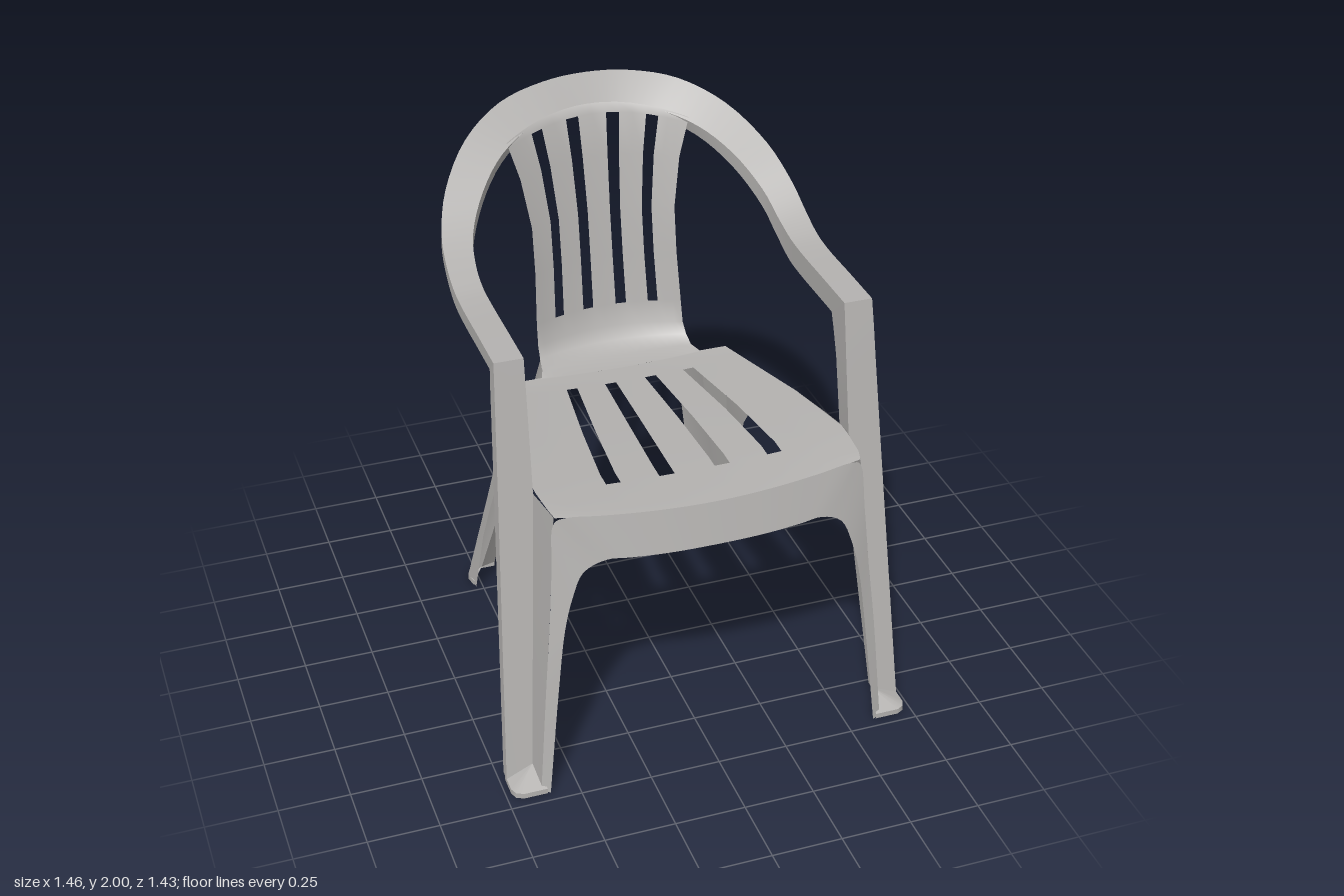
import * as THREE from 'three';

const V = (x, y, z) => new THREE.Vector3(x, y, z);
const P = (a) => V(...a);
const flip = (p, s) => V(p.x * s, p.y, p.z);

// Smooth sheet through rows of points; skip(i, j) leaves a cell open
function sheet(rows, skip = () => false) {
  const n = rows[0].length, index = [];
  for (let i = 0; i < rows.length - 1; i++)
    for (let j = 0; j < n - 1; j++) {
      if (skip(i, j)) continue;
      const a = i * n + j, b = a + 1, c = a + n, d = c + 1;
      index.push(a, c, b, b, c, d);
    }
  const g = new THREE.BufferGeometry().setFromPoints(rows.flat());
  g.setIndex(index);
  g.computeVertexNormals();
  return g;
}

// Resample every column of a set of rows along a spline
function smooth(rows, n) {
  const curves = rows[0].map((_, k) => new THREE.CatmullRomCurve3(rows.map((r) => r[k])));
  return Array.from({ length: n + 1 }, (_, i) => curves.map((c) => c.getPoint(i / n)));
}

// Continue rows that end on the centre line to the other side
const mirrored = (rows) => rows.concat(
  rows.slice(0, -1).reverse().map((r) => r.map((p) => flip(p, -1))));

export function createModel() {
  const chair = new THREE.Group();
  chair.name = 'gardenChair';
  const plastic = new THREE.MeshStandardMaterial({ color: 0xb4b2b0, side: THREE.DoubleSide });
  plastic.name = 'greyPlastic';
  const add = (name, geometry) => {
    const m = new THREE.Mesh(geometry, plastic);
    m.name = name;
    chair.add(m);
  };
  // One sheet per pair of neighbouring columns, so the folds stay sharp
  const folded = (name, rows) => {
    for (let k = 0; k < rows[0].length - 1; k++)
      add(name, sheet(rows.map((r) => [r[k], r[k + 1]])));
  };

  // Seat and backrest: z and y at centre, dz and dy towards the edge, edge x
  const seatProfile = [
    [0.67, 1.04, -0.05, 0.02, 0.535],
    [0.58, 1.042, 0, 0.025, 0.545],
    [0.47, 1.04, 0, 0.027, 0.554],
    [0.41, 1.04, 0, 0.027, 0.555],
    [0.13, 1.03, 0, 0.023, 0.505],
    [-0.2, 1.01, 0, 0.017, 0.425],
    [-0.3, 1.006, 0, 0.014, 0.4],
  ];
  const backProfile = [
    [-0.3, 1.006, 0, 0.014, 0.3],
    [-0.38, 1.01, 0.03, 0.012, 0.285],
    [-0.45, 1.035, 0.06, 0.01, 0.28],
    [-0.48, 1.08, 0.06, 0, 0.277],
    [-0.497, 1.16, 0.06, 0, 0.275],
    [-0.525, 1.35, 0.06, 0, 0.267],
    [-0.55, 1.52, 0.06, 0, 0.267],
    [-0.585, 1.72, 0.065, -0.02, 0.295],
    [-0.615, 1.87, 0.08, -0.05, 0.33],
    [-0.64, 1.9, 0.1, -0.06, 0.335],
  ];
  // Slot borders are fixed fractions of the half width
  const slatRows = (profile, [a, b, c, d]) => profile.map(([z, y, dz, dy, edge]) => {
    const half = [a, b, (b + c) / 2, c, d, (d * 2 + 1) / 3, (d + 2) / 3, 1];
    return [...half.map((t) => -t).reverse(), 0, ...half].map(
      (t) => V(t * edge, y + dy * t * t, z + dz * t * t));
  });
  const seatRows = [
    ...slatRows(seatProfile, [0.128, 0.225, 0.47, 0.562]),
    ...slatRows(backProfile, [0.157, 0.297, 0.585, 0.71]),
  ];
  const slotRows = [2, 3, 4, 11, 12, 13, 14], slotColumns = [3, 6, 9, 12];
  add('seatAndBackrest', sheet(seatRows, (i, j) => slotRows.includes(i) && slotColumns.includes(j)));

  // Front apron flowing into both front legs: [outer edge, lower edge]
  const apron = [
    [[0.63, 0, 0.7], [0.6, 0, 0.712]],
    [[0.595, 0.42, 0.675], [0.555, 0.42, 0.69]],
    [[0.572, 0.65, 0.655], [0.525, 0.65, 0.678]],
    [[0.553, 0.88, 0.635], [0.495, 0.77, 0.672]],
    [[0.537, 1.04, 0.618], [0.455, 0.86, 0.668]],
    [[0.5, 1.058, 0.628], [0.38, 0.897, 0.675]],
    [[0.38, 1.052, 0.645], [0.3, 0.895, 0.685]],
    [[0.2, 1.044, 0.663], [0.17, 0.891, 0.696]],
    [[0, 1.04, 0.67], [0, 0.89, 0.7]],
  ].map((r) => r.map(P));
  add('frontApron', sheet(smooth(mirrored(apron), 64)));

  // Arm band and back rim: [outer edge, inner edge], with flanges on both sides
  const armEdges = [
    [[0.655, 1.53, 0.385], [0.555, 1.53, 0.385]],
    [[0.655, 1.53, 0.2], [0.555, 1.53, 0.2]],
    [[0.655, 1.53, 0], [0.555, 1.53, 0]],
    [[0.655, 1.543, -0.1], [0.555, 1.538, -0.1]],
    [[0.652, 1.585, -0.2], [0.55, 1.57, -0.2]],
    [[0.64, 1.65, -0.3], [0.53, 1.635, -0.3]],
    [[0.59, 1.755, -0.42], [0.46, 1.735, -0.41]],
    [[0.48, 1.87, -0.55], [0.36, 1.815, -0.51]],
    [[0.33, 1.95, -0.64], [0.23, 1.865, -0.59]],
    [[0.16, 1.989, -0.678], [0.11, 1.885, -0.625]],
    [[0, 2, -0.687], [0, 1.89, -0.635]],
  ];
  const arm = armEdges.map(([o, i], k) => {
    const t = Math.max(0, (k - 3) / 7), O = P(o), I = P(i);
    const F = O.clone().add(V(0, -0.05 + 0.03 * t, k ? -0.03 * t : -0.05));
    const J = I.clone().add(V(0, -0.085 + 0.075 * t, k ? -0.03 * t : -0.1));
    return [F, O, I, J];
  });
  folded('armsAndBackRim', smooth(mirrored(arm), 80));

  for (const s of [1, -1]) {
    const side = (rows) => rows.map((r) => r.map((a) => flip(P(a), s)));

    // Arm post down to the front foot: flange, front face, inner flange
    folded('armPost', side([
      [[0.73, 0.02, 0.58], [0.73, 0.02, 0.62], [0.635, 0.06, 0.615], [0.635, 0.06, 0.585]],
      [[0.678, 1.05, 0.41], [0.678, 1.05, 0.46], [0.56, 1.05, 0.464], [0.56, 1.05, 0.385]],
      [[0.665, 1.32, 0.367], [0.665, 1.32, 0.418], [0.557, 1.32, 0.42], [0.557, 1.3, 0.335]],
      [[0.66, 1.42, 0.35], [0.66, 1.43, 0.402], [0.556, 1.43, 0.402], [0.556, 1.39, 0.305]],
      [[0.655, 1.48, 0.335], [0.655, 1.53, 0.385], [0.555, 1.53, 0.385], [0.555, 1.445, 0.285]],
    ]));

    // Side wall of the front leg between apron and arm post
    add('frontLegSide', sheet(side([
      [[0.537, 1.06, 0.615], [0.56, 1.06, 0.46]],
      [[0.553, 0.88, 0.635], [0.573, 0.88, 0.49]],
      [[0.572, 0.65, 0.655], [0.59, 0.65, 0.525]],
      [[0.595, 0.42, 0.675], [0.608, 0.42, 0.56]],
      [[0.63, 0, 0.7], [0.635, 0.06, 0.615]],
    ])));

    // Side skirt sweeping down into the rear leg: [upper edge, lower edge]
    add('sideSkirt', sheet(side([
      [[0.557, 1.067, 0.46], [0.565, 1.05, 0.4]],
      [[0.555, 1.067, 0.4], [0.563, 1.0, 0.345]],
      [[0.537, 1.063, 0.3], [0.55, 0.975, 0.3]],
      [[0.508, 1.054, 0.15], [0.525, 0.955, 0.15]],
      [[0.473, 1.041, 0], [0.5, 0.92, 0]],
      [[0.449, 1.034, -0.1], [0.48, 0.87, -0.1]],
      [[0.425, 1.027, -0.2], [0.467, 0.8, -0.19]],
      [[0.4, 1.02, -0.3], [0.465, 0.7, -0.26]],
      [[0.438, 0.75, -0.376], [0.478, 0.58, -0.325]],
      [[0.466, 0.55, -0.432], [0.49, 0.45, -0.385]],
      [[0.5, 0.3, -0.502], [0.508, 0.28, -0.445]],
      [[0.54, 0.02, -0.58], [0.525, 0, -0.52]],
    ])));

    // Rear leg: two faces meeting in an inward fold
    folded('rearLeg', side([
      [[0.4, 1.02, -0.3], [0.3, 1.02, -0.3], [0.25, 1.03, -0.46]],
      [[0.54, 0.02, -0.58], [0.49, 0.06, -0.56], [0.42, 0.02, -0.63]],
    ]));

    // Feet: sloped gusset from the fold to a rounded rim
    const foot = (name, apex, rim) => {
      const at = (y) => rim.map(([x, z]) => [x, y, z]);
      folded(name, side(at(0.02).map((p, i) => [apex, p, at(0)[i]])));
    };
    foot('frontFoot', [0.635, 0.06, 0.615],
      [[0.73, 0.6], [0.73, 0.675], [0.72, 0.7], [0.695, 0.713], [0.61, 0.713]]);
    foot('rearFoot', [0.49, 0.06, -0.56],
      [[0.53, -0.53], [0.54, -0.58], [0.53, -0.605], [0.49, -0.632], [0.42, -0.632]]);
  }
  return chair;
}
